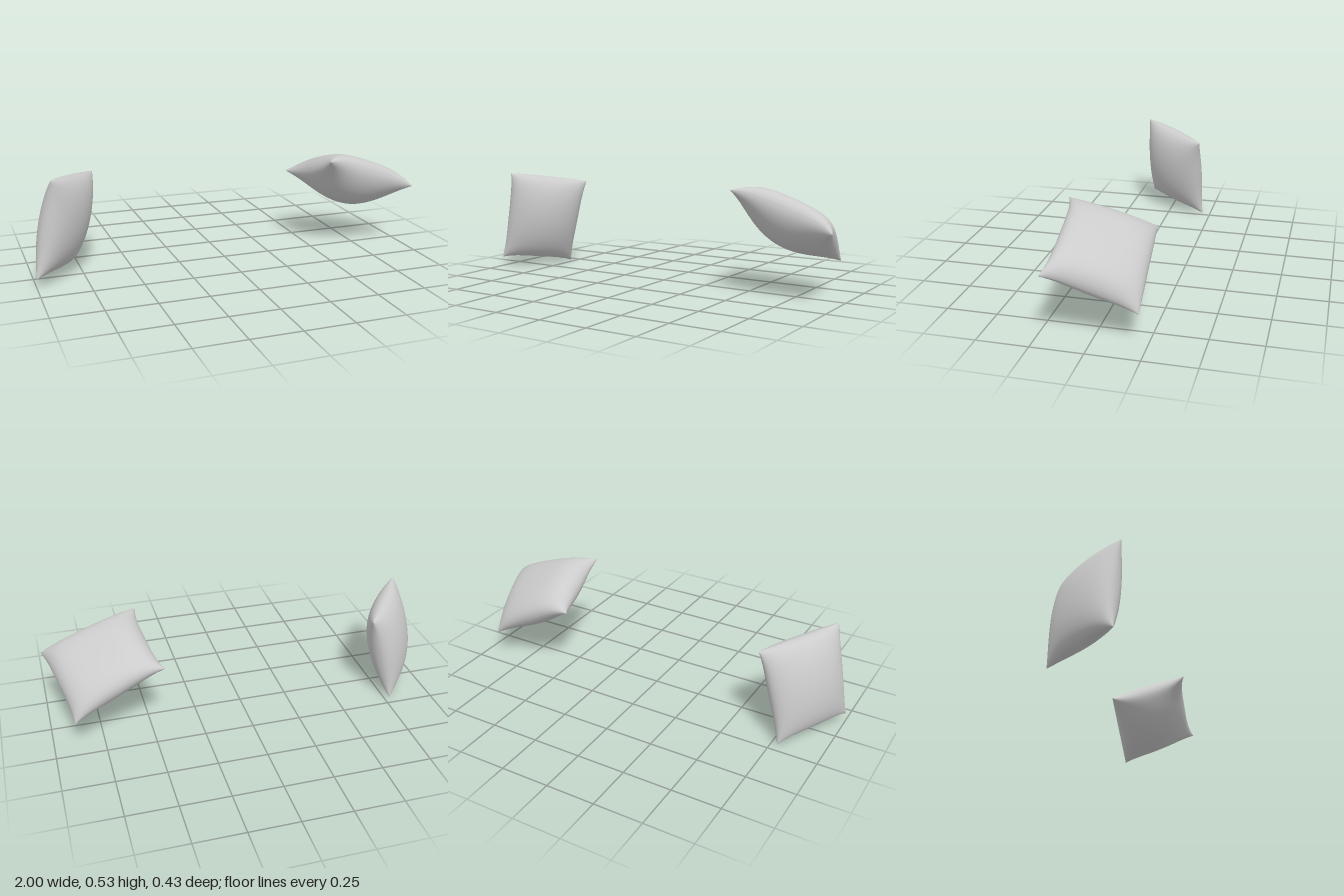
import * as THREE from 'three';

const N = 36;

// One bulging half of a cushion: a grid stretched between four corners,
// with pulled-in seams and a domed middle.
function cushionHalf(p, sign) {
  const [a, b, c, d] = p.corners.map((q) => new THREE.Vector3(...q)); // a-b bottom, d-c top
  const right = b.clone().add(c).sub(a).sub(d).normalize();
  const up = c.clone().add(d).sub(a).sub(b).normalize();
  const normal = right.clone().cross(up).normalize();
  const pos = [], index = [];
  for (let j = 0; j <= N; j++) {
    for (let i = 0; i <= N; i++) {
      // sine spacing puts more rows near the seam
      const u = Math.sin((i / N - 0.5) * Math.PI), v = Math.sin((j / N - 0.5) * Math.PI);
      const s = (u + 1) / 2, t = (v + 1) / 2;
      const eu = Math.max(0, 1 - u * u), ev = Math.max(0, 1 - v * v);
      const fu = 1 - u ** 4, fv = 1 - v ** 4;
      const weights = [(1 - t) * fu, s * fv, t * fu, (1 - s) * fv]; // bottom, right, top, left
      const low = a.clone().lerp(b, s), high = d.clone().lerp(c, s);
      const q = low.lerp(high, t);
      q.addScaledVector(up, p.pull[0] * weights[0] - p.pull[2] * weights[2]);
      q.addScaledVector(right, p.pull[3] * weights[3] - p.pull[1] * weights[1]);
      const lift = weights.reduce((sum, w, k) => sum + w * p.lift[k], 0) * (1 - 0.9 * eu * ev);
      const dome = (sign > 0 ? p.front : p.back) * Math.pow(eu * ev, 0.47);
      q.addScaledVector(normal, lift + sign * dome);
      pos.push(q.x, q.y, q.z);
      if (i < N && j < N) {
        const k = j * (N + 1) + i, l = k + N + 1;
        if (sign > 0) index.push(k, k + 1, l + 1, k, l + 1, l);
        else index.push(k, l + 1, k + 1, k, l, l + 1);
      }
    }
  }
  const g = new THREE.BufferGeometry();
  g.setAttribute('position', new THREE.Float32BufferAttribute(pos, 3));
  g.setIndex(index);
  g.computeVertexNormals();
  return g;
}

function cushion(name, p, material) {
  const group = new THREE.Group();
  group.name = name;
  for (const [part, sign] of [['frontCover', 1], ['backCover', -1]]) {
    const mesh = new THREE.Mesh(cushionHalf(p, sign), material);
    mesh.name = part;
    group.add(mesh);
  }
  return group;
}

export function createModel() {
  const model = new THREE.Group();
  model.name = 'cushions';
  const material = new THREE.MeshStandardMaterial({ color: 0xcccccc });

  // upright cushion
  model.add(cushion('uprightCushion', {
    corners: [[-1, 0.053, 0.143], [-0.78, 0.003, -0.203], [-0.65, 0.478, -0.195], [-0.91, 0.535, 0.155]],
    pull: [0.018, 0.014, -0.004, 0.012],
    lift: [0, 0, 0, 0],
    front: 0.108, back: 0.092,
  }, material));

  // tilted, lying cushion
  model.add(cushion('tiltedCushion', {
    corners: [[0.5, 0.522, 0.214], [1, 0.347, 0.193], [0.89, 0.16, -0.215], [0.43, 0.39, -0.195]],
    pull: [0.02, 0.016, 0.006, 0.022],
    lift: [0.035, 0.006, 0.025, 0.006],
    front: 0.105, back: 0.118,
  }, material));

  return model;
}
